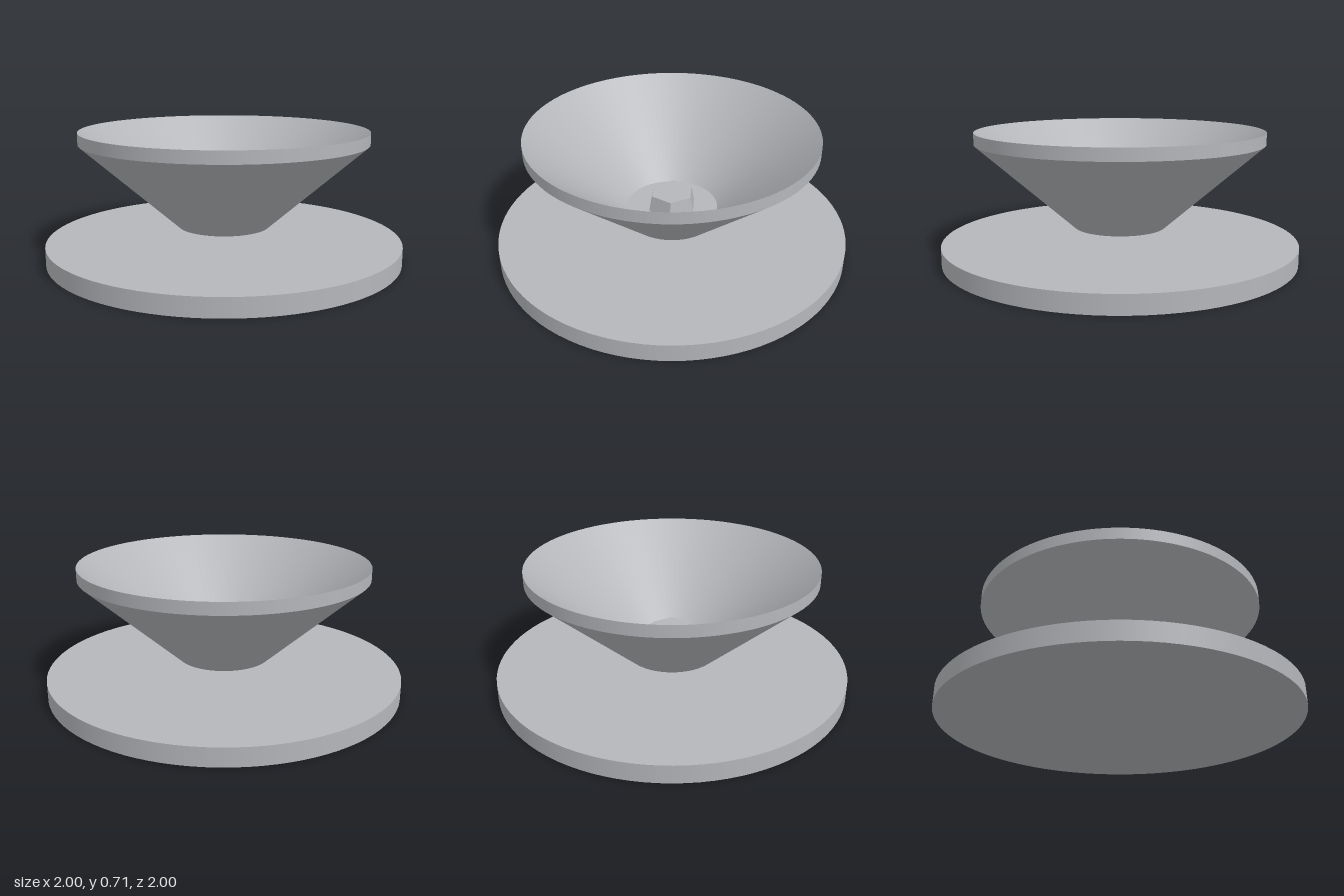
import * as THREE from 'three';

const SEGMENTS = 96;

export function createModel() {
  const model = new THREE.Group();
  model.name = 'coneDishOnDisc';
  const metal = new THREE.MeshStandardMaterial({ color: 0xb4b6ba });
  metal.name = 'light grey metal';

  function add(name, geometry, parent, y = 0) {
    const mesh = new THREE.Mesh(geometry, metal);
    mesh.name = name;
    mesh.position.y = y;
    parent.add(mesh);
  }

  // One smooth band between two [radius, y] points, with sharp borders
  const band = (a, b) =>
    new THREE.LatheGeometry([new THREE.Vector2(...a), new THREE.Vector2(...b)], SEGMENTS);

  // Flat base disc
  add('baseDisc', new THREE.CylinderGeometry(1, 1, 0.1, SEGMENTS), model, 0.05);

  // Dish hovering above the base: an even conical shell with a flat floor
  const dish = new THREE.Group();
  dish.name = 'dish';
  model.add(dish);
  const profile = [
    ['dishUnderside', [0, 0.167]],
    ['dishOuterCone', [0.26, 0.167]],
    ['dishRim', [0.805, 0.65]],
    ['dishInnerCone', [0.805, 0.715]],
    ['dishFloor', [0.26, 0.232]],
    [null, [0, 0.232]],
  ];
  for (let i = 0; i < profile.length - 1; i++) {
    add(profile[i][0], band(profile[i][1], profile[i + 1][1]), dish);
  }

  // Tapered hexagonal stud, corners pointing along x
  const stud = new THREE.CylinderGeometry(0.125, 0.144, 0.09, 6).rotateY(Math.PI / 2).toNonIndexed();
  stud.computeVertexNormals();
  add('hexStud', stud, dish, 0.277);

  return model;
}
